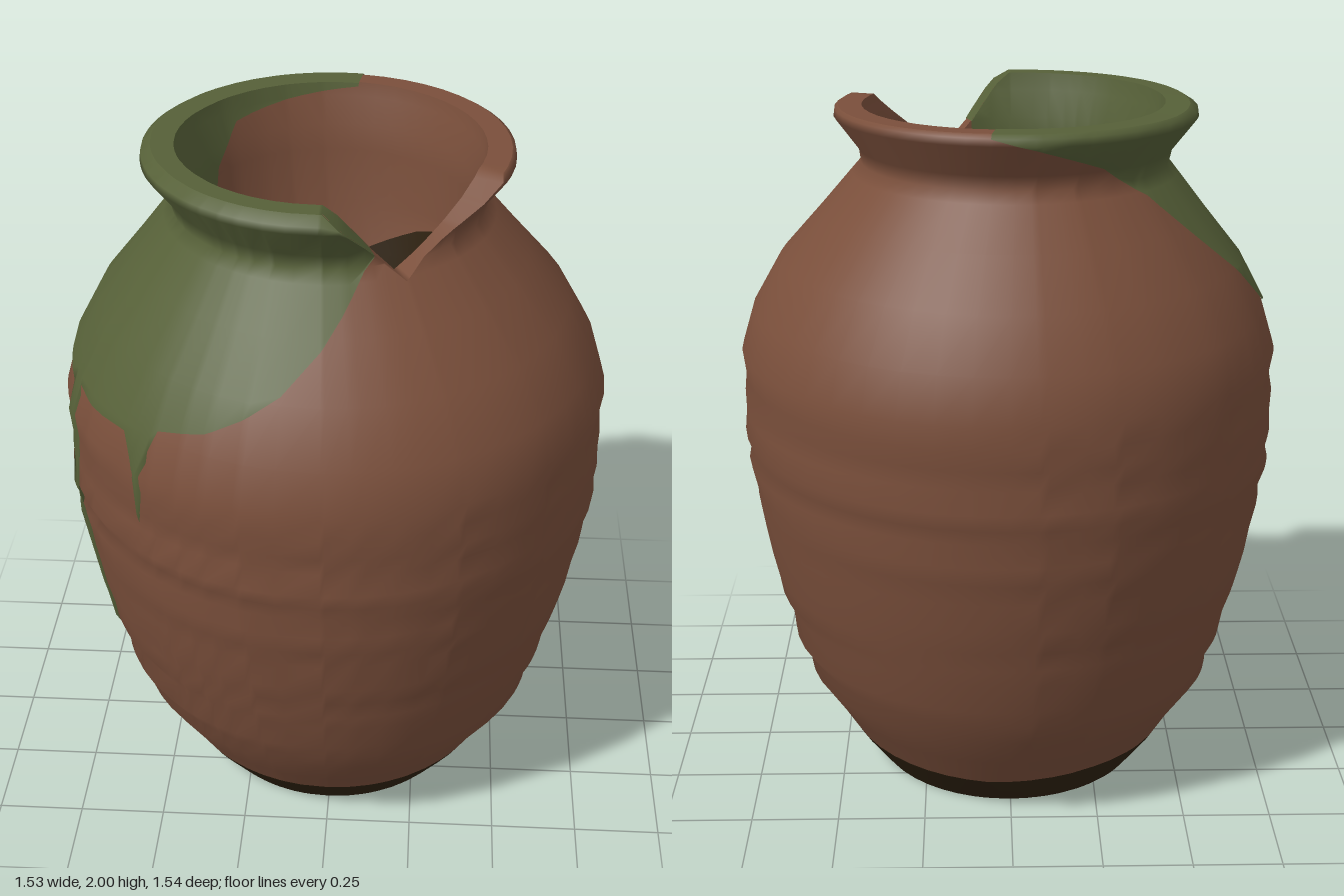
import * as THREE from 'three';
import { mergeVertices } from 'three/addons/utils/BufferGeometryUtils.js';

// Wall profiles as [height, radius]
const OUTER = [[0, .40], [.1, .475], [.2, .535], [.3, .6], [.36, .612], [.42, .645], [.51, .66], [.57, .685],
  [.62, .69], [.7, .717], [.78, .722], [.85, .743], [.9, .742], [.97, .757], [1.01, .753], [1.06, .768],
  [1.12, .756], [1.18, .766], [1.23, .757], [1.3, .765], [1.42, .728], [1.56, .65], [1.69, .54],
  [1.8, .45], [1.83, .425], [1.87, .432], [1.96, .5], [1.98, .497], [2, .465]];
const INNER = [[1.2, .27], [1.35, .31], [1.5, .345], [1.65, .375], [1.8, .385], [1.87, .39], [1.95, .415], [2, .425]];

// Edge lines as [angle in degrees, height]; angle 0 faces +z, +90 faces +x
const RIM = [[-188, 1.99], [-120, 1.99], [-60, 2], [1, 2], [6, 1.97], [18, 1.865], [28, 1.79], [50, 1.88],
  [70, 1.985], [172, 1.99]];
const GLAZE = [[-188, 1.98], [-175, 1.95], [-150, 1.88], [-131, 1.79], [-120, 1.68], [-108, 1.55], [-98, 1.44],
  [-80, 1.39], [-71, 1.38], [-70, .95], [-68.3, .5], [-67, 1.05], [-66, 1.4], [-58, 1.39], [-45, 1.4],
  [-42, 1.34], [-40, 1.15], [-37.5, 1.38], [-36, 1.44], [-25, 1.47], [-17, 1.52], [-9, 1.58], [0, 1.67],
  [9, 1.77], [18, 1.86]];
const GLAZE_IN = [[-188, 1.98], [-160, 1.95], [-135, 1.92], [-120, 1.82], [-110, 1.65], [-100, 1.4], [-92, 1.2],
  [-29, 1.2], [0, 1.6], [18, 1.84]];
const CLAY_IN = [[-188, 1.5], [-130, 1.53], [-100, 1.6], [28, 1.68], [90, 1.68], [140, 1.6], [172, 1.5]];
const BASE = [[-188, .1], [-150, .12], [60, .12], [75, .1], [85, .13], [95, .095], [110, .12], [172, .1]];

const rad = THREE.MathUtils.degToRad;
const clamp = THREE.MathUtils.clamp;

function lookup(table, x) {
  if (x <= table[0][0]) return table[0][1];
  for (let i = 1; i < table.length; i++) {
    const [x0, y0] = table[i - 1], [x1, y1] = table[i];
    if (x <= x1) return y0 + (y1 - y0) * (x - x0) / (x1 - x0);
  }
  return table[table.length - 1][1];
}

// Shared columns: an even spread plus every corner of the edge lines
const columns = [...RIM, ...GLAZE, ...GLAZE_IN].map(p => p[0]);
for (let i = 0; i <= 48; i++) {
  const a = -188 + i * 7.5;
  if (!columns.some(c => Math.abs(c - a) < 1.2)) columns.push(a);
}
const ANGLES = [...new Set(columns)].sort((a, b) => a - b);
const GLAZED = ANGLES.filter(a => a <= 18);
const BARE = ANGLES.filter(a => a >= 18);

// Point on a wall, with hand-thrown ripples on the belly and a slightly off-centre neck
function wallPoint(profile, angle, y, offset = 0) {
  const t = rad(angle);
  let r = lookup(profile, y) + offset;
  if (profile === OUTER && y > .25 && y < 1.3) r += .005 * Math.sin(y * 38 + 2 * t);
  const shift = -.018 * clamp((y - 1.5) / .4, 0, 1);
  return [r * Math.sin(t) + shift, y, r * Math.cos(t) + shift];
}

// Skin over columns of points
function skin(angles, columnOf, flip) {
  const pos = [], index = [];
  let rows = 0;
  for (const a of angles) {
    const col = columnOf(a);
    rows = col.length;
    pos.push(...col.flat());
  }
  for (let i = 0; i < angles.length - 1; i++) {
    for (let k = 0; k < rows - 1; k++) {
      const a = i * rows + k, b = a + rows, c = b + 1, d = a + 1;
      if (flip) index.push(a, c, b, a, d, c);
      else index.push(a, b, c, a, c, d);
    }
  }
  let g = new THREE.BufferGeometry();
  g.setAttribute('position', new THREE.Float32BufferAttribute(pos, 3));
  g.setIndex(index);
  g = mergeVertices(g, 1e-4);
  g.computeVertexNormals();
  return g;
}

// Part of a wall between two edge lines
function wall(profile, angles, low, high, offset = 0) {
  return skin(angles, a => {
    const lo = low(a), hi = high(a);
    return profile.map(([y]) => wallPoint(profile, a, Math.min(Math.max(y, lo), hi), offset));
  }, profile === INNER);
}

export function createModel() {
  const jar = new THREE.Group();
  jar.name = 'brokenJar';
  const material = (name, color) => {
    const m = new THREE.MeshStandardMaterial({ color, side: THREE.DoubleSide });
    m.name = name;
    return m;
  };
  const clay = material('clay', 0x7a4f3b);
  const glaze = material('green glaze', 0x566038);
  const dark = material('dark clay', 0x2e210f);
  const add = (name, geometry, mat, y = 0) => {
    const m = new THREE.Mesh(geometry, mat);
    m.name = name;
    m.position.y = y;
    jar.add(m);
    return m;
  };
  const rim = a => lookup(RIM, a);
  const edge = table => a => lookup(table, a);

  // Outside
  add('body', wall(OUTER, ANGLES, edge(BASE), rim), clay);
  add('base', wall(OUTER, ANGLES, () => 0, edge(BASE)), dark);
  add('underside', new THREE.CircleGeometry(.4, 32).rotateX(Math.PI / 2), dark);
  add('glazeAndDrips', wall(OUTER, GLAZED, edge(GLAZE), rim, .008), glaze);

  // Inside
  add('innerWall', wall(INNER, ANGLES, edge(CLAY_IN), rim), clay);
  add('innerWallLower', wall(INNER, ANGLES, () => 1.2, edge(CLAY_IN)), dark);
  add('innerGlaze', wall(INNER, GLAZED, edge(GLAZE_IN), rim, -.007), glaze);
  add('innerFloor', new THREE.CircleGeometry(.275, 32).rotateX(-Math.PI / 2), dark, 1.2);
  add('glazePool', new THREE.CircleGeometry(.27, 8, Math.PI, rad(62)).rotateX(-Math.PI / 2), glaze, 1.207);

  // Top of the rim and the faces of the break
  const lip = (angles, grow) => skin(angles, a => [
    wallPoint(OUTER, a, rim(a), grow), wallPoint(INNER, a, rim(a), -grow)]);
  add('glazedLip', lip(GLAZED, .008), glaze);
  add('bareLip', lip(BARE, 0), clay);
  return jar;
}
